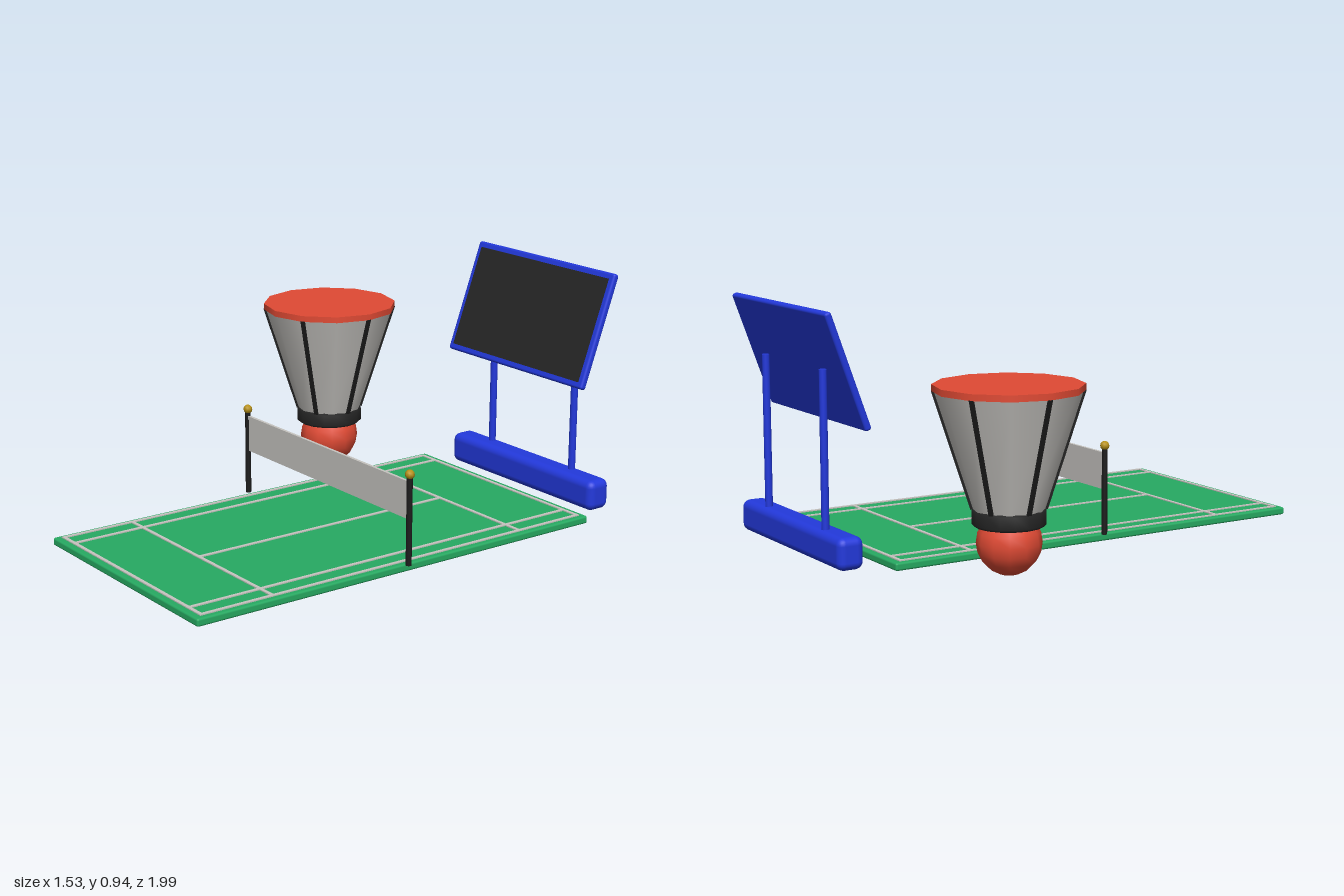
import * as THREE from 'three';
import { RoundedBoxGeometry } from 'three/addons/geometries/RoundedBoxGeometry.js';

const paint = (name, color) => {
  const m = new THREE.MeshStandardMaterial({ color });
  m.name = name;
  return m;
};

export function createModel() {
  const red = paint('red', 0xe04a34);
  const green = paint('courtGreen', 0x27aa62);
  const blue = paint('blue', 0x2339dc);
  const grey = paint('paleGrey', 0xc6c4c0);
  const black = paint('black', 0x1c1c1c);
  const charcoal = paint('charcoal', 0x262626);
  const gold = paint('gold', 0xb8921a);

  const root = new THREE.Group();
  root.name = 'badmintonSet';

  const group = (name, x, y, z) => {
    const g = new THREE.Group();
    g.name = name;
    g.position.set(x, y, z);
    root.add(g);
    return g;
  };
  const add = (parent, name, geometry, material, x = 0, y = 0, z = 0) => {
    const m = new THREE.Mesh(geometry, material);
    m.name = name;
    m.position.set(x, y, z);
    parent.add(m);
    return m;
  };

  // Court slab and its painted lines
  const court = group('court', 0.24, 0, 0.108);
  add(court, 'courtSlab', new RoundedBoxGeometry(0.99, 0.03, 1.78, 2, 0.008), green, 0, 0.019, 0);
  const line = (name, w, d, x, z) =>
    add(court, name, new THREE.BoxGeometry(w, 0.006, d), grey, x, 0.035, z);
  for (const s of [-1, 1]) {
    line('outerSideLine', 0.014, 1.73, s * 0.467, 0);
    line('innerSideLine', 0.014, 1.73, s * 0.39, 0);
    line('baseLine', 0.948, 0.014, 0, s * 0.858);
    line('serviceLine', 0.948, 0.014, 0, s * 0.564);
  }
  line('centreLine', 0.014, 1.128, 0, 0);

  // Net with posts and round caps
  const net = group('net', 0.24, 0, 0.108);
  add(net, 'netSheet', new THREE.BoxGeometry(1.01, 0.135, 0.006), grey, 0, 0.275, 0);
  add(net, 'netTape', new THREE.BoxGeometry(1.01, 0.014, 0.012), grey, 0, 0.343, 0);
  for (const s of [-1, 1]) {
    add(net, 'netPost', new THREE.CylinderGeometry(0.011, 0.011, 0.332, 12), black, s * 0.509, 0.2, 0);
    add(net, 'postCap', new THREE.SphereGeometry(0.018, 8, 6), gold, s * 0.509, 0.376, 0);
  }

  // Shuttlecock standing on its cork
  const shuttle = group('shuttlecock', -0.495, 0, -0.456);
  add(shuttle, 'cork', new THREE.SphereGeometry(0.119, 12, 10), red, 0, 0.119, 0);
  const collar = [[0.1, 0.18], [0.125, 0.18], [0.135, 0.19], [0.135, 0.234], [0.125, 0.244], [0.1, 0.244]];
  add(shuttle, 'collar',
    new THREE.LatheGeometry(collar.map(([r, y]) => new THREE.Vector2(r, y)), 16), charcoal);
  const bottom = { r: 0.13, y: 0.24 }, top = { r: 0.266, y: 0.666 };
  add(shuttle, 'skirt',
    new THREE.CylinderGeometry(top.r, bottom.r, top.y - bottom.y, 12, 1, true),
    grey, 0, (top.y + bottom.y) / 2, 0);
  add(shuttle, 'rim', new THREE.CylinderGeometry(0.272, 0.272, 0.024, 12), red, 0, 0.675, 0);

  // Six ribs lying along the slope of the skirt
  const slope = Math.atan2(top.r - bottom.r, top.y - bottom.y);
  const ribLength = Math.hypot(top.r - bottom.r, top.y - bottom.y);
  for (let i = 0; i < 6; i++) {
    const arm = new THREE.Group();
    arm.name = 'ribArm';
    arm.rotation.y = i * Math.PI / 3;
    shuttle.add(arm);
    const rib = add(arm, 'rib', new THREE.BoxGeometry(0.014, ribLength, 0.016), black,
      (top.r + bottom.r) / 2, (top.y + bottom.y) / 2, 0);
    rib.rotation.z = -slope;
  }

  // Scoreboard on two poles and a heavy foot
  const board = group('scoreboard', 0.24, 0, -0.925);
  add(board, 'foot', new RoundedBoxGeometry(0.84, 0.122, 0.104, 3, 0.03), blue, 0, 0.068, 0.008);
  for (const s of [-1, 1]) {
    add(board, 'pole', new THREE.CylinderGeometry(0.0145, 0.0145, 0.6, 12), blue, s * 0.239, 0.415, -0.007);
  }
  const panel = new THREE.Group();
  panel.name = 'tiltedPanel';
  panel.position.set(0, 0.72, 0.018);
  panel.rotation.x = -THREE.MathUtils.degToRad(20);
  board.add(panel);
  add(panel, 'frame', new RoundedBoxGeometry(0.79, 0.46, 0.027, 2, 0.01), blue);
  add(panel, 'screen', new THREE.BoxGeometry(0.742, 0.412, 0.006), charcoal, 0, 0, 0.0125);

  return root;
}
